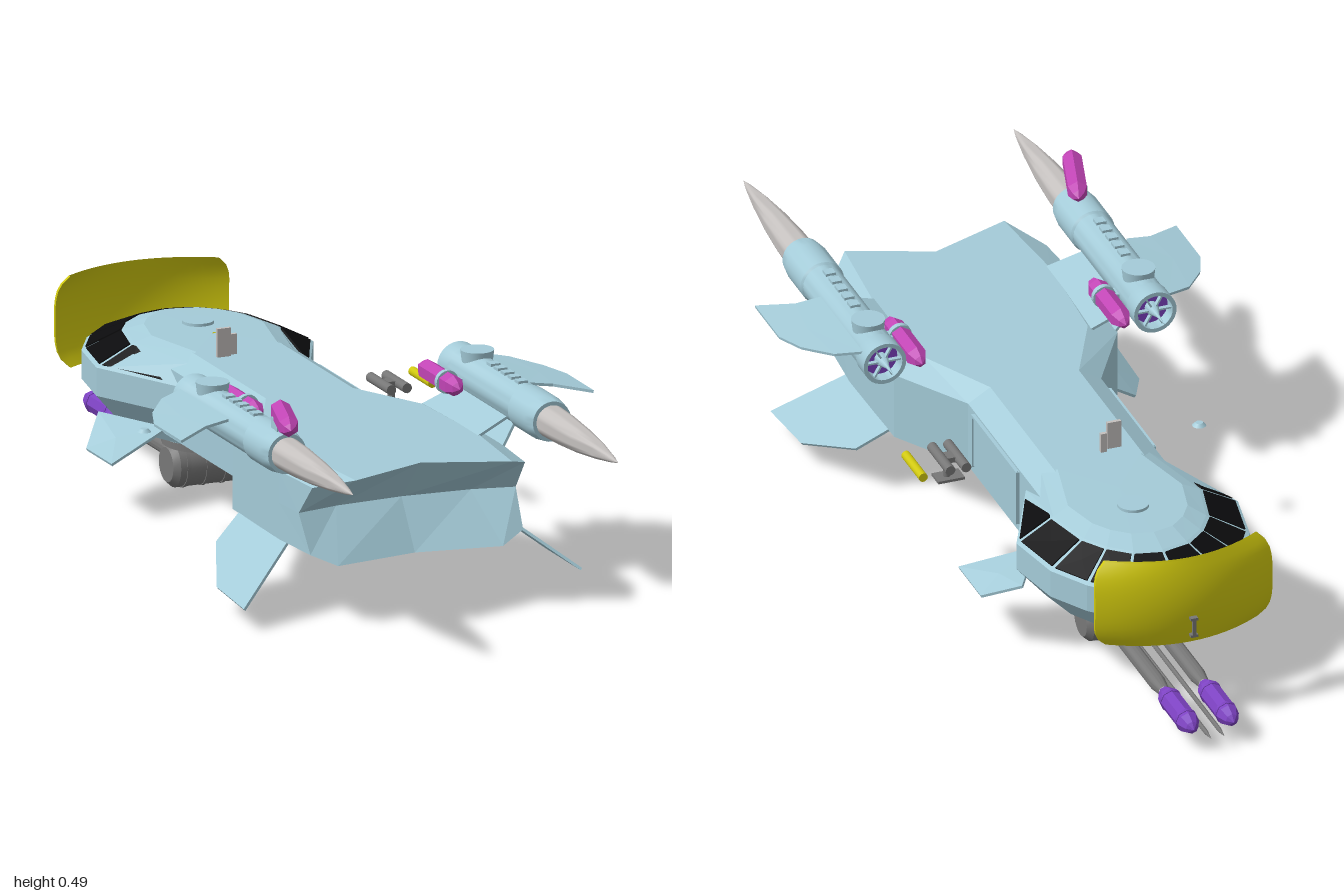
import * as THREE from 'three';
import { toCreasedNormals } from 'three/addons/utils/BufferGeometryUtils.js';

const paint = (name, color, side = THREE.FrontSide) => {
  const m = new THREE.MeshStandardMaterial({ color, side });
  m.name = name;
  return m;
};
const V = (x, y, z) => new THREE.Vector3(x, y, z);

// Skin between rows of points, flat shaded
function grid(rows) {
  const pos = [];
  const tri = (a, b, c) => {
    const area = b.clone().sub(a).cross(c.clone().sub(a)).length();
    if (area > 1e-9) for (const p of [a, b, c]) pos.push(p.x, p.y, p.z);
  };
  for (let i = 0; i < rows.length - 1; i++) {
    for (let j = 0; j < rows[i].length - 1; j++) {
      const a = rows[i][j], b = rows[i][j + 1], c = rows[i + 1][j + 1], d = rows[i + 1][j];
      tri(a, b, c);
      tri(a, c, d);
    }
  }
  const g = new THREE.BufferGeometry();
  g.setAttribute('position', new THREE.Float32BufferAttribute(pos, 3));
  g.computeVertexNormals();
  return g;
}

// Thin closed plate around a polygon in space
function plate(pts, t = 0.003) {
  const mid = pts.reduce((s, p) => s.add(p), V(0, 0, 0)).divideScalar(pts.length);
  const n = V(0, 0, 0);
  pts.forEach((p, i) => n.add(p.clone().sub(mid).cross(pts[(i + 1) % pts.length].clone().sub(mid))));
  n.normalize().multiplyScalar(t);
  const ring = [...pts, pts[0]];
  const shift = (s) => ring.map((p) => p.clone().addScaledVector(n, s));
  const centre = (s) => ring.map(() => mid.clone().addScaledVector(n, s));
  return grid([centre(-1), shift(-1), shift(1), centre(1)]);
}

// Lathe along z from [radius, z] pairs given with z rising
function lathe(profile, sides = 24, crease = 0.6) {
  const g = new THREE.LatheGeometry(profile.map(([r, z]) => new THREE.Vector2(r, z)), sides);
  return toCreasedNormals(g.rotateX(Math.PI / 2), crease);
}

export function createModel() {
  const M = {
    hull: paint('pale blue hull', 0xa4cbd8),
    glass: paint('black glass', 0x0c0c0e),
    yellow: paint('yellow', 0xd0c80e, THREE.DoubleSide),
    magenta: paint('magenta', 0xc044b4),
    purple: paint('purple', 0x7d42c2),
    grey: paint('gun grey', 0x777777),
    silver: paint('silver', 0xc4c0be),
  };
  const model = new THREE.Group();
  const add = (name, geo, mat, x = 0, y = 0, z = 0, parent = model) => {
    const m = new THREE.Mesh(geo, mat);
    m.name = name;
    m.position.set(x, y, z);
    parent.add(m);
    return m;
  };
  const box = (w, h, d) => new THREE.BoxGeometry(w, h, d);
  const cyl = (r, h, s = 20, r2 = r) => new THREE.CylinderGeometry(r, r2, h, s);

  // Hull: eight-sided sections widening to the tail
  const around = (half) => [...half.map(([x, y, z]) => V(-x, y, z)),
    ...half.slice(0, -1).reverse().map(([x, y, z]) => V(x, y, z))];
  const section = ([z, top, side]) => around([[0, 0.335, z], [top, 0.335, z], [side, 0.305, z],
    [side, 0.235, z], [side, 0.155, z], [top, 0.13, z], [0, 0.13, z]]);
  const tail = [[0, 0.335, 0.66], [0.18, 0.335, 0.73], [0.245, 0.305, 0.65],
    [0.25, 0.235, 0.59], [0.245, 0.155, 0.64], [0.19, 0.13, 0.66], [0, 0.13, 0.63]];
  add('hull', grid([...[[-0.42, 0.1, 0.15], [0.08, 0.1, 0.15], [0.25, 0.185, 0.252],
    [0.5, 0.2, 0.256]].map(section), around(tail)]), M.hull);

  // Recessed tail face
  const across = (side, corner, mid) => [V(-side[0], side[1], side[2]), V(-corner[0], corner[1], corner[2]),
    V(...mid), V(...corner), V(...side)];
  add('tailRecess', grid([across(tail[4], tail[5], tail[6]),
    across(tail[3], [0.155, 0.235, 0.57], [0, 0.235, 0.56]),
    across(tail[2], tail[1], tail[0])]), M.hull);

  // Cockpit: stacked outlines running round the nose
  const outline = (pts, y) => {
    const right = pts.map(([x, z]) => V(x, y, z));
    return [...right, ...right.slice(0, -1).reverse().map((p) => V(-p.x, y, p.z))];
  };
  const wide = [[0.15, -0.26], [0.25, -0.465], [0.225, -0.6], [0.175, -0.685], [0.11, -0.75], [0, -0.78]];
  const roof = [[0.12, -0.27], [0.165, -0.46], [0.138, -0.57], [0.105, -0.62], [0.06, -0.658], [0, -0.672]];
  const floor = [[0.1, -0.27], [0.18, -0.46], [0.16, -0.55], [0.12, -0.62], [0.07, -0.665], [0, -0.685]];
  const sill = outline(wide, 0.277), brow = outline(roof, 0.322);
  const point = (y) => sill.map(() => V(0, y, -0.42));
  add('cockpit', grid([point(0.133), outline(floor, 0.133), outline(wide, 0.215), sill, brow,
    outline(roof.map(([x, z]) => [x * 0.78, -0.42 + (z + 0.42) * 0.8]), 0.337), point(0.338)]), M.hull);

  // Cockpit windows
  for (let j = 0; j < 10; j++) {
    const at = (u, v) => sill[j].clone().lerp(sill[j + 1], u).lerp(brow[j].clone().lerp(brow[j + 1], u), v);
    const lo = 0.05, hi = 0.95;
    const corners = j === 0 ? [at(0.22, 0.1), at(0.97, 0.1), at(0.97, 0.92), at(0.9, 0.92)]
      : j === 9 ? [at(0.03, 0.1), at(0.78, 0.1), at(0.1, 0.92), at(0.03, 0.92)]
        : [at(lo, 0.1), at(hi, 0.1), at(hi, 0.92), at(lo, 0.92)];
    add('window', plate(corners, 0.003), M.glass);
  }

  // Roof hatch and mast plates
  add('hatch', cyl(0.034, 0.008, 28), M.hull, 0, 0.34, -0.5);
  add('mastPlate', box(0.031, 0.063, 0.008), M.silver, -0.052, 0.366, -0.25);
  add('mastPlateSmall', box(0.014, 0.045, 0.008), M.silver, -0.025, 0.357, -0.26);

  // Tapered pod with pointed ends, centred on its own z axis
  const pod = (len, r, sides) => lathe([[0, -len / 2], [r * 0.6, -len / 2 + 0.012], [r, -len / 2 + 0.035],
    [r, len / 2 - 0.035], [r * 0.6, len / 2 - 0.012], [0, len / 2]], sides, 0.1);

  for (const s of [1, -1]) {
    const fin = (name, pts) => add(name, plate(pts.map(([x, y, z]) => V(s * x, y, z))), M.hull);
    // Fins and nacelle struts
    fin('cockpitFin', [[0.24, 0.175, -0.475], [0.303, 0.122, -0.396], [0.303, 0.122, -0.264], [0.15, 0.17, -0.32]]);
    fin('tailFin', [[0.245, 0.158, 0.28], [0.315, 0.105, 0.31], [0.38, 0.052, 0.46], [0.388, 0.046, 0.62],
      [0.245, 0.158, 0.53]]);
    fin('nacelleWing', [[0.345, 0.41, 0.19], [0.4, 0.402, 0.215], [0.45, 0.394, 0.28], [0.475, 0.39, 0.345],
      [0.475, 0.39, 0.487], [0.4, 0.402, 0.445], [0.345, 0.41, 0.44]]);
    fin('upperStrut', [[0.19, 0.33, 0.24], [0.28, 0.366, 0.24], [0.28, 0.366, 0.5], [0.19, 0.33, 0.52]]);
    fin('lowerStrut', [[0.25, 0.3, 0.26], [0.29, 0.35, 0.26], [0.29, 0.35, 0.5], [0.25, 0.3, 0.52]]);

    // Engine nacelle with intake, exhaust cone and top cap
    const engine = new THREE.Group();
    engine.name = 'engine';
    engine.position.set(s * 0.305, 0.388, 0);
    model.add(engine);
    const part = (name, geo, mat, x, y, z) => add(name, geo, mat, x, y, z, engine);
    part('nacelle', lathe([[0, 0.2], [0.039, 0.2], [0.039, 0.165], [0.048, 0.165], [0.048, 0.21], [0.045, 0.215],
      [0.045, 0.53], [0.049, 0.535], [0.049, 0.62], [0.044, 0.655], [0, 0.655]], 28), M.hull);
    part('intakeFan', lathe([[0, 0.192], [0.038, 0.192], [0.038, 0.199]]), M.purple);
    part('intakeSpike', lathe([[0, 0.11], [0.004, 0.15], [0.014, 0.18], [0.014, 0.2]], 16), M.hull);
    for (let k = 0; k < 3; k++) part('intakeSpoke', box(0.08, 0.004, 0.01), M.hull, 0, 0, 0.178).rotation.z = k * Math.PI / 3;
    part('exhaustCone', lathe([[0.036, 0.65], [0.034, 0.72], [0.028, 0.81], [0.018, 0.9], [0.007, 0.97], [0, 1]], 28, 1),
      M.silver);
    part('topCap', cyl(0.036, 0.05, 28, 0.03), M.hull, 0, 0.032, 0.265);
    for (let k = 0; k < 5; k++) part('vent', box(0.022, 0.008, 0.022), M.hull, 0, 0.046, 0.35 + k * 0.036);

    // Inner pod beside each nacelle
    add('innerPod', pod(0.205, 0.023, 6), M.magenta, s * 0.23, 0.385, 0.243);
    add('podClamp', cyl(0.0255, 0.012, 20).rotateX(Math.PI / 2), M.hull, s * 0.23, 0.385, 0.275);
    add('podArm', box(0.04, 0.012, 0.03), M.hull, s * 0.255, 0.385, 0.275);

    // Side door panel with a raised frame
    add('sideDoor', box(0.008, 0.12, 0.26), M.hull, s * 0.15, 0.238, -0.09);
    for (const z of [-0.22, 0.04]) add('doorFrame', box(0.012, 0.125, 0.006), M.hull, s * 0.152, 0.238, z);
    add('doorFrame', box(0.012, 0.006, 0.26), M.hull, s * 0.152, 0.298, -0.09);

    // Chin guns
    add('gunBarrel', lathe([[0.012, -0.8], [0.018, -0.76], [0.018, -0.44]], 16), M.grey, s * 0.045, 0.055, 0);
    add('gunPod', pod(0.185, 0.024, 8), M.purple, s * 0.045, 0.055, -0.885);
    for (const z of [-0.93, -0.84]) add('gunBand', cyl(0.0255, 0.008, 8).rotateX(Math.PI / 2), M.purple, s * 0.045, 0.055, z);
    add('gunNeedle', lathe([[0, -1], [0.005, -0.97], [0.005, -0.46]], 8), M.grey, s * 0.015, 0.04, 0);
  }

  // Loose pod resting on one nacelle
  const loose = add('upperPod', pod(0.2, 0.023, 6), M.magenta, -0.307, 0.464, 0.645);
  loose.rotation.y = -0.28;
  add('upperPodMount', box(0.03, 0.03, 0.03), M.hull, -0.305, 0.443, 0.62);

  // Chin turret
  add('turretRing', cyl(0.106, 0.03, 32), M.hull, 0, 0.126, -0.445);
  add('turretPlate', cyl(0.1, 0.02, 32), M.grey, 0, 0.103, -0.445);
  const drum = [[0, -0.098], [0.038, -0.098], [0.05, -0.085], [0.05, 0.085], [0.038, 0.098], [0, 0.098]];
  add('turretDrum', lathe(drum, 20, 0.5).rotateY(Math.PI / 2), M.grey, 0, 0.052, -0.445);
  for (const x of [-0.066, -0.022, 0.022, 0.066]) {
    add('turretRib', cyl(0.052, 0.008, 20).rotateZ(Math.PI / 2), M.grey, x, 0.052, -0.445);
  }

  // Curved nose shield with rounded corners
  const shieldRows = [];
  for (let i = 0; i <= 12; i++) {
    const v = i / 6 - 1, row = [];
    const half = 0.2 * (1 - 0.14 * Math.abs(v) ** 5);
    const face = (u, inset) => V(u * half, 0.286 + v * 0.1, -0.852 + 0.052 * u * u + 0.016 * v * v + inset);
    for (let j = 0; j <= 16; j++) row.push(face(1 - j / 8, 0));
    for (let j = 0; j <= 16; j++) row.push(face(j / 8 - 1, 0.008));
    row.push(row[0]);
    shieldRows.push(row);
  }
  add('noseShield', toCreasedNormals(grid(shieldRows), 0.5), M.yellow);
  add('shieldHandle', box(0.008, 0.045, 0.006), M.grey, 0, 0.233, -0.86);
  for (const y of [0.213, 0.253]) add('handleFoot', box(0.016, 0.006, 0.012), M.grey, 0, y, -0.857);

  // Free-floating gadget, yellow rod and small dome
  add('gadgetBase', box(0.06, 0.006, 0.04), M.grey, 0.258, 0.239, -0.085);
  add('gadgetPost', cyl(0.008, 0.045, 12), M.grey, 0.262, 0.26, -0.085);
  for (const x of [0.238, 0.274]) add('gadgetBarrel', cyl(0.011, 0.11, 14).rotateX(Math.PI / 2), M.grey, x, 0.285, -0.085);
  add('gadgetYoke', box(0.04, 0.012, 0.03), M.grey, 0.256, 0.285, -0.085);
  add('yellowRod', cyl(0.01, 0.104, 16).rotateX(Math.PI / 2), M.yellow, 0.338, 0.285, -0.095);
  add('floatingDome', cyl(0.008, 0.007, 16, 0.015), M.hull, -0.31, 0.248, -0.08);

  return model;
}
